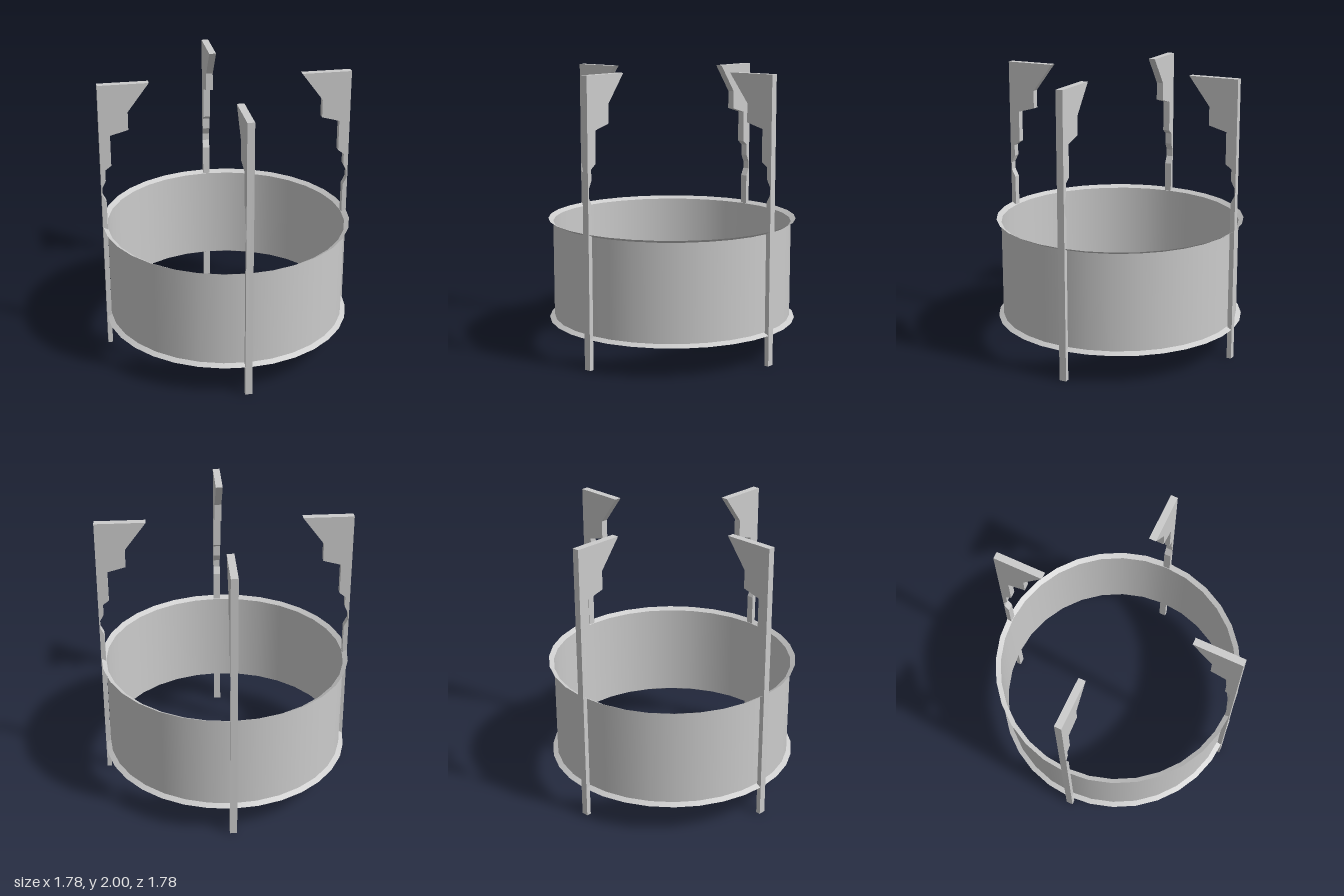
import * as THREE from 'three';

const R_OUT = 0.888, R_WALL = 0.853, SIDES = 32;

// Open conical band between two heights
function band(name, rTop, rBottom, yTop, yBottom, mat) {
  const g = new THREE.CylinderGeometry(rTop, rBottom, yTop - yBottom, SIDES, 1, true);
  g.translate(0, (yTop + yBottom) / 2, 0);
  const m = new THREE.Mesh(g, mat);
  m.name = name;
  return m;
}

export function createModel() {
  const model = new THREE.Group();
  model.name = 'ringStand';
  const thin = new THREE.MeshStandardMaterial({ color: 0xcccccc, side: THREE.DoubleSide });
  const solid = new THREE.MeshStandardMaterial({ color: 0xcccccc });

  // Thin drum wall with a flared lip at each end
  const ring = new THREE.Group();
  ring.name = 'ring';
  ring.add(
    band('upperLip', R_OUT, R_WALL, 0.943, 0.923, thin),
    band('ringWall', R_WALL, R_WALL, 0.923, 0.237, thin),
    band('lowerLip', R_WALL, R_OUT, 0.237, 0.217, thin)
  );
  model.add(ring);

  // Stepped post outline: radius, height
  const profile = [
    [R_OUT, 0], [R_OUT, 2], [0.535, 2], [0.685, 1.8], [0.685, 1.67], [0.812, 1.635],
    [0.812, 1.412], [0.855, 1.38], [0.855, 1.3], [0.882, 1.247], [0.882, 1.194],
    [0.855, 1.14], [0.855, 0]
  ].map(([x, y]) => new THREE.Vector2(x, y));
  const width = 0.05;
  const postGeo = new THREE.ExtrudeGeometry(new THREE.Shape(profile), { depth: width, bevelEnabled: false });
  postGeo.translate(0, 0, -width / 2);

  // Four posts around the ring
  ['leftPost', 'backPost', 'rightPost', 'frontPost'].forEach((name, i) => {
    const post = new THREE.Mesh(postGeo, solid);
    post.name = name;
    post.rotation.y = i * Math.PI / 2;
    model.add(post);
  });
  return model;
}
